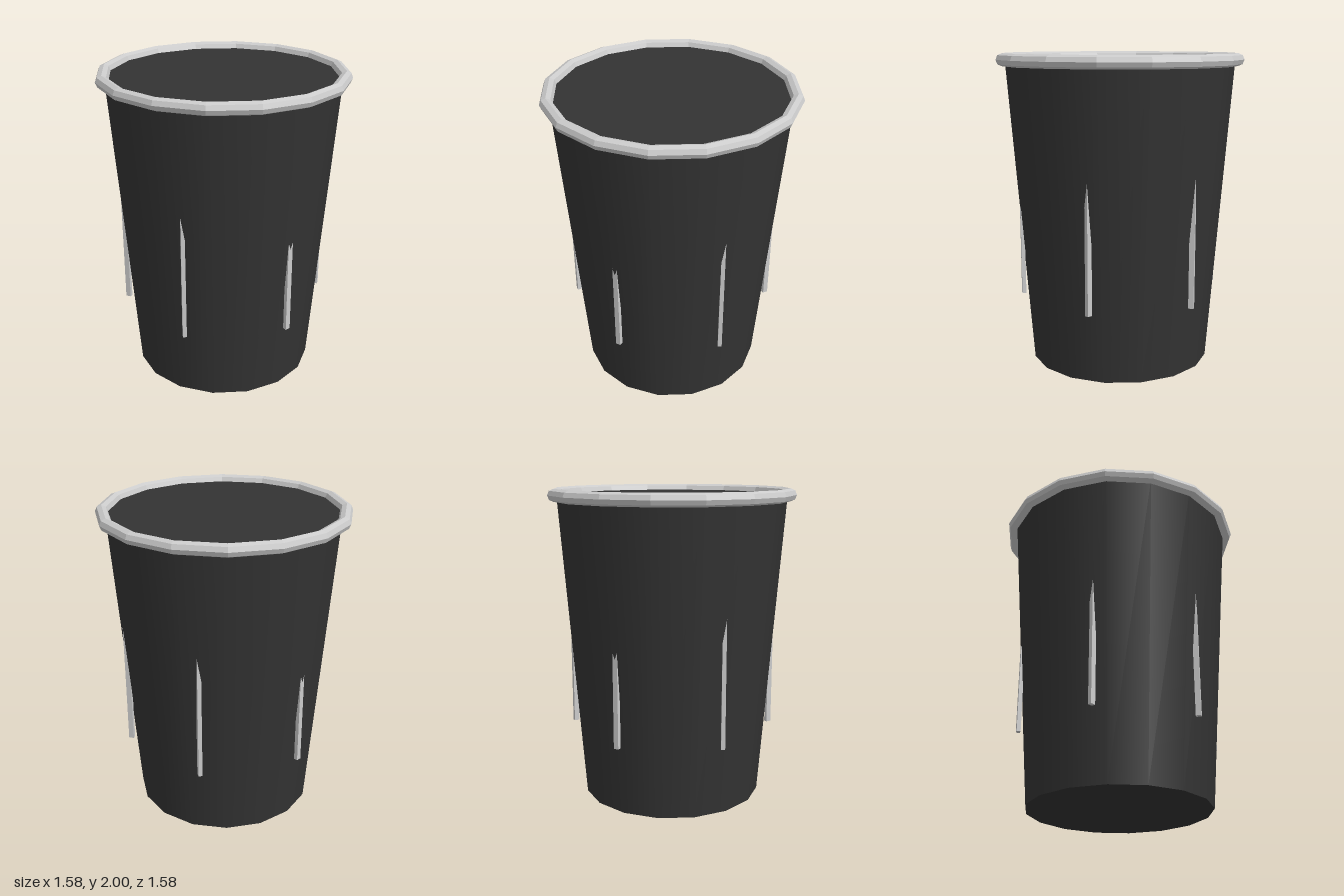
import * as THREE from 'three';

export function createModel() {
  const group = new THREE.Group();
  const dark = new THREE.MeshStandardMaterial({ color: 0x333333 });
  const grey = new THREE.MeshStandardMaterial({ color: 0xcccccc, flatShading: true });

  const add = (name, geometry, material) => {
    const mesh = new THREE.Mesh(geometry, material);
    mesh.name = name;
    group.add(mesh);
    return mesh;
  };

  // Tapered body with a closed top and bottom
  const bodyHeight = 1.96;
  add('body', new THREE.CylinderGeometry(0.733, 0.581, bodyHeight, 16), dark)
    .position.y = bodyHeight / 2;

  // Faceted rim around the top edge
  const rim = add('rim', new THREE.TorusGeometry(0.75, 0.04, 8, 16), grey);
  rim.rotation.x = Math.PI / 2;
  rim.position.y = bodyHeight;

  // Six upright ribs that sink into the widening wall
  const ribRadius = 0.647;
  for (let i = 0; i < 6; i++) {
    const angle = (i * Math.PI) / 3;
    const rib = add('rib' + (i + 1), new THREE.BoxGeometry(0.033, 1.1, 0.025), grey);
    rib.position.set(ribRadius * Math.sin(angle), 1, ribRadius * Math.cos(angle));
    rib.rotation.y = -angle; // turned against the wall, so one corner stands out
  }

  return group;
}
